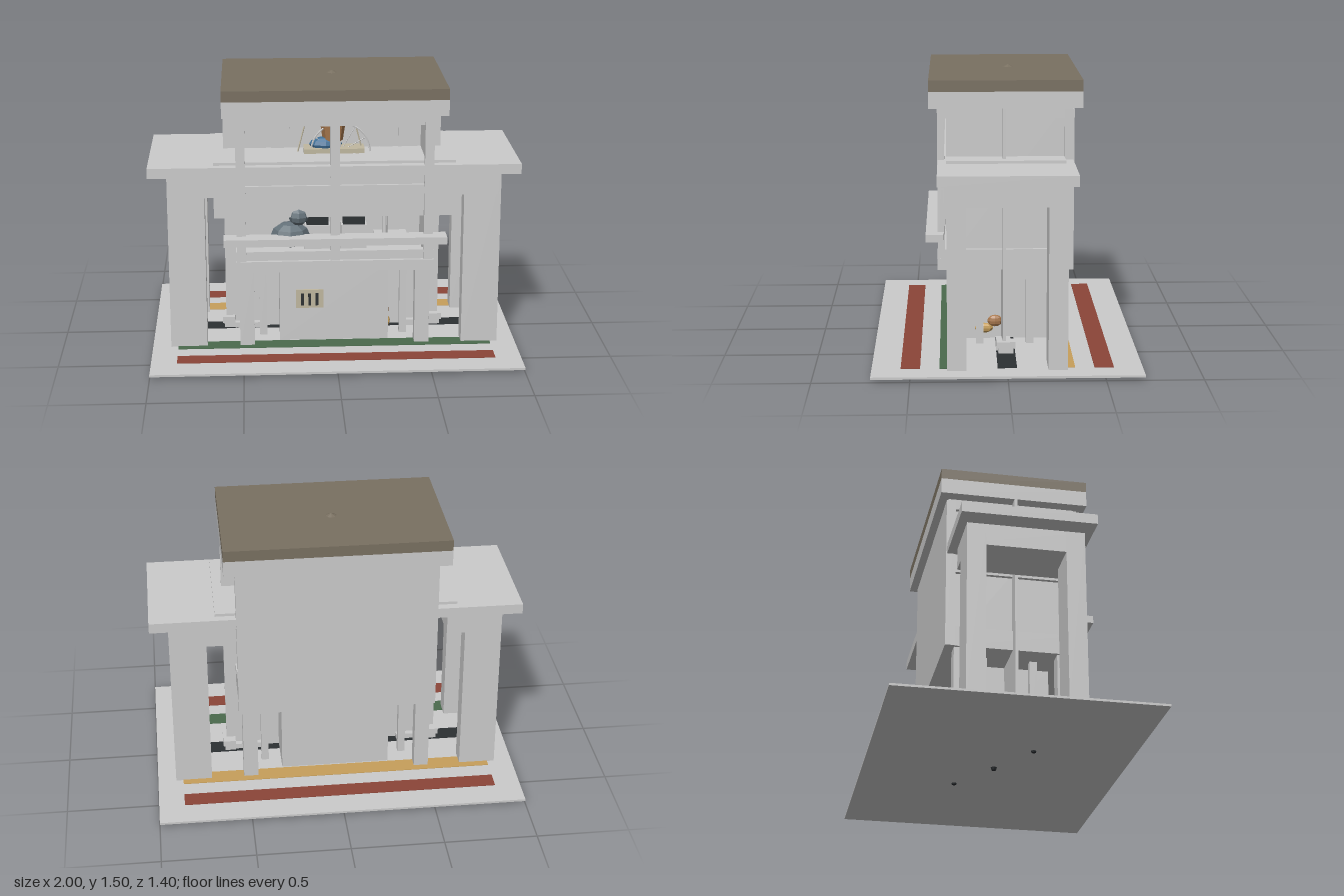
import * as THREE from 'three';

export function createModel() {
  const model = new THREE.Group();
  const mat = (color) => new THREE.MeshStandardMaterial({ color, flatShading: true });
  const grey = mat(0xcccccc), roofBrown = mat(0x797061), red = mat(0x8b4538), green = mat(0x4a6a4d);
  const black = mat(0x2c3033), tan = mat(0xc79f5b), plaster = mat(0xc0b8a0), skin = mat(0xa9794f);
  const slate = mat(0x65727a), blue = mat(0x3f6f96);

  const add = (name, geo, m, x = 0, y = 0, z = 0) => {
    const mesh = new THREE.Mesh(geo, m);
    mesh.name = name;
    mesh.position.set(x, y, z);
    model.add(mesh);
    return mesh;
  };
  // Box given by its limits on each axis
  const box = (name, x0, x1, y0, y1, z0, z1, m = grey) =>
    add(name, new THREE.BoxGeometry(x1 - x0, y1 - y0, z1 - z0), m, (x0 + x1) / 2, (y0 + y1) / 2, (z0 + z1) / 2);
  // The same box on both sides of x = 0
  const pair = (name, x0, x1, ...rest) => {
    box(name, x0, x1, ...rest);
    box(name, -x1, -x0, ...rest);
  };
  // Low-poly ellipsoid
  const blob = (name, m, x, y, z, rx, ry, rz) =>
    add(name, new THREE.SphereGeometry(1, 8, 6), m, x, y, z).scale.set(rx, ry, rz);

  // Ground slab with coloured strips
  box('ground', -1, 1, 0.015, 0.027, -0.7, 0.7);
  const strips = [[-0.5, red], [0.5, red], [-0.3, tan], [0.3, green], [0, black]];
  for (const [z, m] of strips) box('groundStrip', -0.86, 0.86, 0.02, 0.03, z - 0.05, z + 0.05, m);
  for (const [x, z] of [[0, 0], [-0.28, 0.16], [0.28, -0.17]])
    add('foot', new THREE.CylinderGeometry(0.018, 0.012, 0.016, 8), black, x, x ? 0.015 : 0.008, z);

  // Side wings: posts, lintel and the long deck
  for (const z of [0.21, -0.31]) pair('wingPost', 0.7, 0.9, 0.027, 1.0, z, z + 0.1);
  pair('wingLintel', 0.6, 0.9, 0.88, 1.0, -0.31, 0.31);
  box('deck', -1, 1, 1.005, 1.06, -0.355, 0.355);
  box('deckStep', -0.65, 0.65, 1.06, 1.075, -0.31, 0.31);

  // Lower storey: core block, posts, pedestals
  box('coreBlock', -0.3, 0.3, 0.027, 0.47, -0.24, 0.24);
  for (const z of [0.24, -0.31]) pair('lowerPost', 0.44, 0.52, 0.027, 0.47, z, z + 0.07);
  for (const z of [0.115, -0.155]) pair('innerPost', 0.37, 0.41, 0.027, 0.47, z, z + 0.04);
  pair('pedestalBase', 0.55, 0.61, 0.027, 0.065, -0.04, 0.04);
  pair('pedestalTop', 0.55, 0.62, 0.06, 0.095, -0.05, 0.05);
  pair('sill', 0.38, 0.55, 0.027, 0.06, -0.03, 0.05);
  box('partition', -0.6, 0.6, 0.027, 1.34, 0, 0.016);

  // Main body: floor, back wall, recessed side walls with frames
  box('floor', -0.53, 0.53, 0.47, 0.53, -0.31, 0.36);
  box('backWall', -0.54, 0.54, 0.47, 1.33, -0.36, -0.31);
  pair('sideWall', 0.49, 0.515, 0.5, 1.34, -0.31, 0.31);
  pair('sideLowerBeam', 0.5, 0.535, 0.47, 0.58, -0.31, 0.34);
  pair('sideMiddleBeam', 0.5, 0.535, 0.9, 1.005, -0.31, 0.34);
  pair('sideTopBeam', 0.5, 0.535, 1.28, 1.34, -0.35, 0.34);

  // Front: lattice, panel, sills and rail
  pair('frontBar', 0.48, 0.53, 0.53, 1.34, 0.32, 0.357);
  box('frontMiddleBar', -0.025, 0.025, 0.53, 1.34, 0.32, 0.357);
  box('frontTopBar', -0.53, 0.53, 1.28, 1.335, 0.32, 0.35);
  box('frontLowerBeam', -0.535, 0.535, 0.47, 0.53, 0.31, 0.36);
  box('frontUpperSill', -0.535, 0.535, 0.53, 0.58, 0.3, 0.34);
  box('frontPanel', -0.65, 0.65, 0.77, 1.06, 0.312, 0.328);
  box('frontPanelBand', -0.49, 0.49, 0.9, 0.95, 0.32, 0.343);
  box('rail', -0.6, 0.6, 0.635, 0.675, 0.325, 0.42);
  for (let i = 0; i < 9; i++) {
    const x = -0.4 + i * 0.1;
    box('wallPlank', x - 0.035, x + 0.035, 1.075, 1.33, 0.01, 0.022);
  }

  // Roof
  box('eaves', -0.6, 0.6, 1.34, 1.427, -0.4, 0.4);
  box('roof', -0.6, 0.6, 1.427, 1.486, -0.4, 0.4, roofBrown);
  add('roofKnob', new THREE.ConeGeometry(0.03, 0.014, 8), roofBrown, 0, 1.493, -0.03);

  // Slotted plaque and its bracket on the core block
  box('bracket', -0.045, 0.045, 0.33, 0.47, 0.235, 0.26);
  box('plaque', -0.21, -0.06, 0.22, 0.325, 0.24, 0.252, plaster);
  for (const x of [-0.175, -0.135, -0.095]) box('slot', x - 0.008, x + 0.008, 0.235, 0.305, 0.245, 0.255, black);

  // Watcher leaning on the rail
  blob('watcherBody', slate, -0.24, 0.66, 0.28, 0.105, 0.07, 0.09);
  blob('watcherHead', slate, -0.195, 0.77, 0.3, 0.055, 0.052, 0.055);

  // Dark seats and dowels inside the lower room
  for (const x of [-0.09, 0.11]) {
    box('seat', x - 0.06, x + 0.06, 0.69, 0.77, 0.16, 0.22, black);
    box('seatBase', x - 0.07, x + 0.07, 0.53, 0.69, 0.15, 0.23);
  }
  box('shelf', 0.22, 0.4, 0.62, 0.635, 0.15, 0.25);
  add('dowel', new THREE.CylinderGeometry(0.015, 0.015, 0.13, 8), grey, 0.28, 0.7, 0.2);

  // Worker at a bench with a wheel in the upper room
  add('workerBody', new THREE.CylinderGeometry(0.085, 0.055, 0.2, 8), skin, 0, 1.24, 0.1);
  blob('workerLap', blue, -0.04, 1.12, 0.11, 0.09, 0.04, 0.05);
  box('bench', -0.16, 0.17, 1.08, 1.105, 0.06, 0.17, plaster);
  for (const x of [-0.13, 0.13]) box('benchLeg', x - 0.01, x + 0.01, 1.06, 1.08, 0.07, 0.16, plaster);
  add('wheel', new THREE.TorusGeometry(0.16, 0.005, 5, 24, Math.PI), grey, 0.04, 1.08, 0.13);
  for (let i = 1; i < 6; i++) {
    const a = (i * Math.PI) / 6;
    const spoke = add('spoke', new THREE.CylinderGeometry(0.002, 0.002, 0.16, 5), grey,
      0.04 + 0.08 * Math.cos(a), 1.08 + 0.08 * Math.sin(a), 0.13);
    spoke.rotation.z = a - Math.PI / 2;
  }
  for (const x of [-0.17, 0.14]) {
    const stick = add('stick', new THREE.CylinderGeometry(0.004, 0.004, 0.18, 5), plaster, x, 1.16, 0.1);
    stick.rotation.z = -Math.sign(x) * -0.25;
  }

  // Small bundle beside the core block
  blob('bundleTop', skin, 0.3, 0.125, 0.05, 0.02, 0.033, 0.042);
  blob('bundleSide', tan, 0.3, 0.085, 0.11, 0.022, 0.028, 0.05);
  return model;
}
